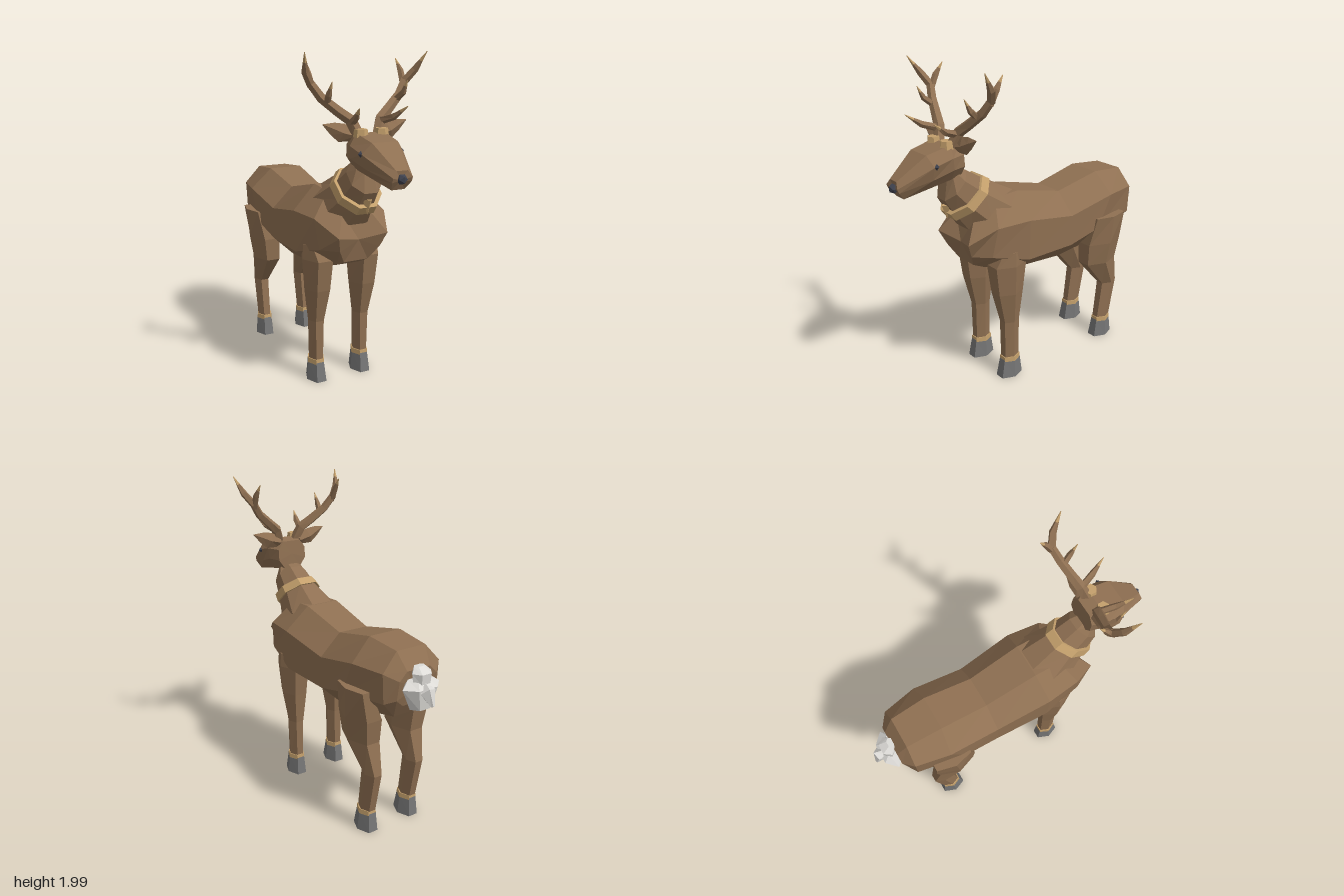
import * as THREE from 'three';

const mat = (name, color) => {
  const m = new THREE.MeshStandardMaterial({ color, flatShading: true });
  m.name = name;
  return m;
};
const V = (x, y, z) => new THREE.Vector3(x, y, z);

// Closed faceted solid through a list of equal-length rings; faces are turned outward
function loft(rings) {
  const tris = [], n = rings[0].length;
  const mid = r => r.reduce((a, p) => a.add(p), V(0, 0, 0)).divideScalar(n);
  for (let i = 0; i + 1 < rings.length; i++)
    for (let j = 0; j < n; j++) {
      const k = (j + 1) % n, [a, b, c, d] = [rings[i][j], rings[i][k], rings[i + 1][k], rings[i + 1][j]];
      tris.push([a, b, c], [a, c, d]);
    }
  const first = rings[0], last = rings[rings.length - 1], m0 = mid(first), m1 = mid(last);
  for (let j = 0; j < n; j++) {
    const k = (j + 1) % n;
    tris.push([m0, first[k], first[j]], [m1, last[j], last[k]]);
  }
  const volume = tris.reduce((s, [a, b, c]) => s + a.dot(b.clone().cross(c)), 0);
  const pts = tris.flatMap(([a, b, c]) => (volume < 0 ? [a, c, b] : [a, b, c]));
  const g = new THREE.BufferGeometry().setFromPoints(pts);
  g.computeVertexNormals();
  return g;
}

// Eight-sided ring from four right-hand corners [x, y, z], top to bottom
const octRing = half => [
  ...half.map(([x, y, z]) => V(x, y, z)),
  ...half.slice().reverse().map(([x, y, z]) => V(-x, y, z)),
];

// Tilted oval ring between a back and a front point [z, y]
const tiltRing = ([bz, by], [fz, fy], w) => Array.from({ length: 8 }, (_, i) => {
  const a = (i + 0.5) * Math.PI / 4, k = 1 / Math.cos(Math.PI / 8);
  const c = Math.cos(a) * k / 2, s = Math.sin(a) * k;
  return V(w * s, (by + fy) / 2 + (fy - by) * c, (bz + fz) / 2 + (fz - bz) * c);
});

// Horizontal six-sided ring
const hexRing = (s, [y, x, z, rx, rz]) =>
  [[1, 0], [0.5, 1], [-0.5, 1], [-1, 0], [-0.5, -1], [0.5, -1]].map(([a, b]) => V(s * x + a * rx, y, z + b * rz));

// Tapered five-sided branch along points [x, y, z, radius]
function branch(s, path) {
  const pts = path.map(([x, y, z]) => V(s * x, y, z));
  return loft(pts.map((p, i) => {
    const t = pts[Math.min(i + 1, pts.length - 1)].clone().sub(pts[Math.max(i - 1, 0)]).normalize();
    const u = V(0, 0, 1).cross(t).normalize(), w = t.clone().cross(u);
    return Array.from({ length: 5 }, (_, j) => {
      const a = j * Math.PI * 0.4;
      return p.clone().addScaledVector(u, Math.cos(a) * path[i][3]).addScaledVector(w, Math.sin(a) * path[i][3]);
    });
  }));
}

export function createModel() {
  const root = new THREE.Group();
  const brown = mat('brownCoat', 0x8f7052), tan = mat('tan', 0xc4a06c), grey = mat('hoofGrey', 0x757575);
  const white = mat('tailWhite', 0xdddbd7), dark = mat('darkSlate', 0x3f424e);
  const add = (name, geo, material, parent = root) => {
    const m = new THREE.Mesh(geo, material);
    m.name = name;
    parent.add(m);
    return m;
  };

  // Torso, rump to chest
  add('torso', loft([
    [[0.08, 1.08, -0.80], [0.13, 1.03, -0.80], [0.13, 0.91, -0.78], [0.07, 0.86, -0.76]],
    [[0.10, 1.18, -0.73], [0.20, 1.07, -0.74], [0.19, 0.89, -0.74], [0.09, 0.78, -0.71]],
    [[0.11, 1.20, -0.50], [0.245, 1.07, -0.52], [0.24, 0.86, -0.42], [0.10, 0.70, -0.37]],
    [[0.10, 1.13, -0.19], [0.235, 1.00, -0.19], [0.23, 0.80, -0.19], [0.10, 0.68, -0.19]],
    [[0.11, 1.21, 0.15], [0.26, 1.065, 0.17], [0.25, 0.81, 0.17], [0.08, 0.69, 0.17]],
    [[0.11, 1.20, 0.32], [0.235, 1.06, 0.39], [0.215, 0.88, 0.42], [0.08, 0.76, 0.38]],
    [[0.09, 1.09, 0.46], [0.16, 0.97, 0.55], [0.13, 0.88, 0.51], [0.08, 0.80, 0.465]],
  ].map(octRing)), brown);

  // Neck and collar
  add('neck', loft([
    tiltRing([0.15, 1.205], [0.46, 1.0], 0.17),
    tiltRing([0.34, 1.305], [0.555, 1.13], 0.118),
    tiltRing([0.47, 1.385], [0.62, 1.23], 0.098),
    tiltRing([0.53, 1.40], [0.595, 1.345], 0.07),
  ]), brown);
  add('collar', loft([
    tiltRing([0.315, 1.305], [0.56, 1.10], 0.135),
    tiltRing([0.365, 1.335], [0.595, 1.145], 0.13),
  ]), tan);
  const pendant = add('pendant', new THREE.ConeGeometry(0.032, 0.09, 4), tan);
  pendant.position.set(0, 1.145, 0.585);
  pendant.rotation.x = Math.PI;

  // Head
  add('head', loft([
    [[0.06, 1.55, 0.525], [0.10, 1.50, 0.52], [0.10, 1.43, 0.515], [0.06, 1.375, 0.515]],
    [[0.09, 1.565, 0.60], [0.132, 1.50, 0.61], [0.125, 1.43, 0.60], [0.07, 1.36, 0.59]],
    [[0.08, 1.53, 0.75], [0.13, 1.47, 0.73], [0.105, 1.39, 0.73], [0.06, 1.335, 0.72]],
    [[0.035, 1.405, 0.915], [0.06, 1.37, 0.925], [0.06, 1.345, 0.915], [0.04, 1.30, 0.88]],
  ].map(octRing)), brown);
  add('nose', new THREE.IcosahedronGeometry(0.03, 0), dark).position.set(0, 1.36, 0.915);

  for (const [side, s] of [['left', 1], ['right', -1]]) {
    // Eye
    const eye = add(side + 'Eye', new THREE.OctahedronGeometry(0.018), dark);
    eye.position.set(s * 0.127, 1.47, 0.715);

    // Ear: a flattened leaf
    add(side + 'Ear', loft([
      [0.075, 1.545, 0.03, 0.025], [0.15, 1.565, 0.048, 0.03], [0.205, 1.59, 0.032, 0.018], [0.265, 1.615, 0.002, 0.002],
    ].map(([x, y, h, d]) => [V(s * (x - h * 0.4), y + h, 0.55), V(s * x, y, 0.55 + d),
      V(s * (x + h * 0.4), y - h, 0.55), V(s * x, y, 0.55 - d)])), brown);

    // Antler with tan-tipped tines
    const antler = new THREE.Group();
    antler.name = side + 'Antler';
    root.add(antler);
    add('burr', new THREE.CylinderGeometry(0.036, 0.042, 0.045, 6), tan, antler).position.set(s * 0.065, 1.565, 0.61);
    add('beam', branch(s, [[0.06, 1.54, 0.58, 0.036], [0.095, 1.63, 0.55, 0.033], [0.16, 1.68, 0.525, 0.03],
      [0.245, 1.75, 0.495, 0.027], [0.30, 1.83, 0.47, 0.024]]), brown, antler);
    const tines = [
      [[0.295, 1.82, 0.47, 0.024], [0.345, 1.89, 0.505, 0.022], [0.38, 1.99, 0.57, 0.002]],
      [[0.29, 1.80, 0.475, 0.02], [0.295, 1.88, 0.435, 0.019], [0.29, 1.95, 0.388, 0.002]],
      [[0.215, 1.72, 0.50, 0.02], [0.235, 1.77, 0.56, 0.018], [0.235, 1.84, 0.60, 0.002]],
      [[0.09, 1.62, 0.56, 0.022], [0.12, 1.65, 0.65, 0.02], [0.15, 1.71, 0.735, 0.002]],
    ];
    for (const [a, b, tip] of tines) {
      const cut = b.map((v, i) => v + (tip[i] - v) * 0.5);
      add('tine', branch(s, [a, b, cut]), brown, antler);
      add('tineTip', branch(s, [cut, tip]), tan, antler);
    }

    // Legs: rows are [y, x, z, half width, half depth]
    const legs = {
      FrontLeg: [[0.88, 0.19, 0.27, 0.055, 0.07], [0.79, 0.155, 0.272, 0.098, 0.113], [0.60, 0.155, 0.27, 0.085, 0.09],
        [0.39, 0.155, 0.255, 0.053, 0.055], [0.12, 0.155, 0.255, 0.045, 0.052]],
      HindLeg: [[0.93, 0.225, -0.517, 0.062, 0.122], [0.74, 0.17, -0.50, 0.105, 0.14], [0.59, 0.16, -0.495, 0.09, 0.125],
        [0.395, 0.155, -0.602, 0.052, 0.063], [0.12, 0.155, -0.558, 0.045, 0.055]],
    };
    for (const [name, rows] of Object.entries(legs)) {
      const leg = new THREE.Group();
      leg.name = side + name;
      root.add(leg);
      const z = rows[4][2];
      add('limb', loft(rows.map(r => hexRing(s, r))), brown, leg);
      add('ankleBand', loft([[0.11, 0.155, z, 0.054, 0.06], [0.14, 0.155, z, 0.052, 0.058]].map(r => hexRing(s, r))), tan, leg);
      add('hoof', loft([[0, 0.155, z + 0.005, 0.063, 0.078], [0.12, 0.155, z, 0.051, 0.06]].map(r => hexRing(s, r))), grey, leg);
    }
  }

  // Tail: a faceted tuft with two smaller locks
  const tail = new THREE.Group();
  tail.name = 'tail';
  root.add(tail);
  add('tuft', loft([
    hexRing(1, [0.86, 0, -0.82, 0.07, 0.045]),
    hexRing(1, [0.99, 0, -0.825, 0.13, 0.062]),
    hexRing(1, [1.03, 0, -0.80, 0.075, 0.045]),
  ]), white, tail);
  add('upperLock', loft([
    hexRing(1, [1.01, 0, -0.83, 0.06, 0.035]),
    hexRing(1, [1.07, 0, -0.825, 0.065, 0.045]),
    hexRing(1, [1.10, 0, -0.80, 0.035, 0.02]),
  ]), white, tail);
  add('backLock', branch(1, [[0, 1.0, -0.83, 0.03], [0.01, 0.975, -0.89, 0.045], [0, 0.90, -0.925, 0.012]]), white, tail);

  return root;
}
